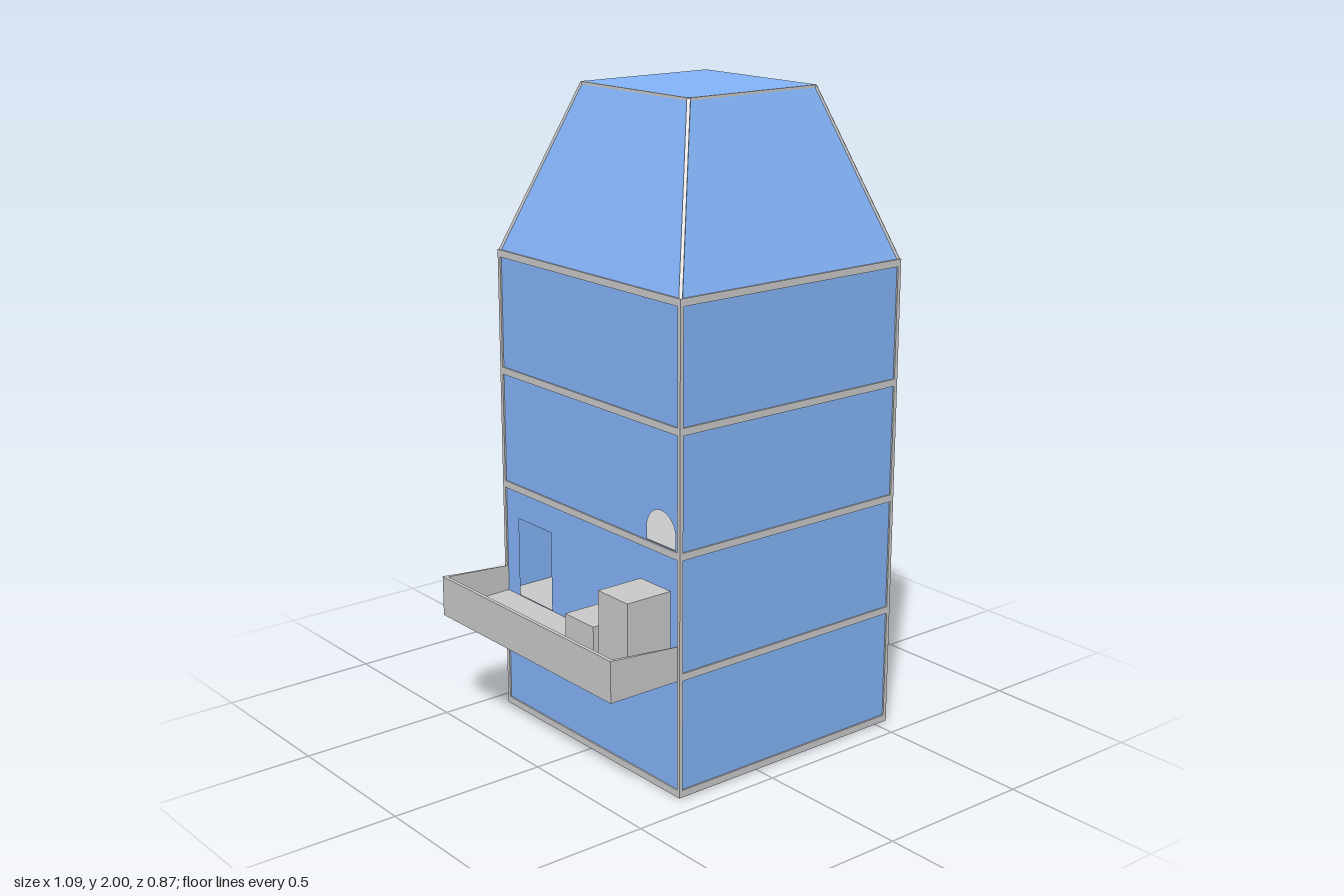
import * as THREE from 'three';

const grey = new THREE.MeshStandardMaterial({ color: 0xcccccc, side: THREE.DoubleSide });
const blue = new THREE.MeshStandardMaterial({ color: 0x85b5fa, side: THREE.DoubleSide });

// Tower footprint
const X0 = -0.305, X1 = 0.54, Z = 0.435, CX = (X0 + X1) / 2;
const W = X1 - X0, D = 2 * Z, INSET = 0.005;
const EAVES = 1.49, TOP = 2, RATIO = 0.572;
const floors = [0.005, 0.372, 0.738, 1.104, 1.47];
const SLAB = 0.022;

function add(parent, name, geometry, material) {
  const mesh = new THREE.Mesh(geometry, material);
  mesh.name = name;
  parent.add(mesh);
  return mesh;
}

// Box given by its two extreme corners
function block(parent, name, a, b, material = grey) {
  const mesh = add(parent, name, new THREE.BoxGeometry(b[0] - a[0], b[1] - a[1], b[2] - a[2]), material);
  mesh.position.set((a[0] + b[0]) / 2, (a[1] + b[1]) / 2, (a[2] + b[2]) / 2);
  return mesh;
}

// Thin square bar between two points
function bar(parent, name, a, b, t = 0.01) {
  const mesh = add(parent, name, new THREE.BoxGeometry(t, t, a.distanceTo(b)), grey);
  mesh.position.copy(a).lerp(b, 0.5);
  mesh.lookAt(b);
  return mesh;
}

// Upright glass sheet, optionally with openings
function glass(parent, width, y0, y1, holes = []) {
  const shape = new THREE.Shape([
    new THREE.Vector2(-width / 2, y0), new THREE.Vector2(width / 2, y0),
    new THREE.Vector2(width / 2, y1), new THREE.Vector2(-width / 2, y1)]);
  shape.holes.push(...holes);
  return add(parent, 'glassPanel', new THREE.ShapeGeometry(shape), blue);
}

function doorHole() {
  return new THREE.Path([[-0.36, 0.396], [-0.19, 0.396], [-0.19, 0.65], [-0.36, 0.65]]
    .map(([x, y]) => new THREE.Vector2(x, y)));
}

function archHole() {
  const path = new THREE.Path();
  path.moveTo(0.28, 0.763);
  path.lineTo(0.41, 0.763);
  path.lineTo(0.41, 0.80);
  path.absarc(0.345, 0.80, 0.065, 0, Math.PI, false);
  path.closePath();
  return path;
}

function createTower() {
  const tower = new THREE.Group();
  tower.name = 'tower';

  // Base plate and floor slabs whose edges show as bands
  block(tower, 'basePlate', [X0 + 0.008, 0, -Z + 0.008], [X1 - 0.008, 0.012, Z - 0.008]);
  floors.forEach(y => block(tower, 'floorSlab', [X0, y, -Z], [X1, y + SLAB, Z]));

  // Glass on all four sides of each storey
  for (let i = 0; i < 4; i++) {
    const y0 = floors[i] + SLAB, y1 = floors[i + 1];
    const holes = i === 1 ? [doorHole()] : i === 2 ? [archHole()] : [];
    glass(tower, W - 2 * INSET, y0, y1).position.set(CX, 0, Z - INSET);
    const back = glass(tower, W - 2 * INSET, y0, y1);
    back.position.set(CX, 0, -Z + INSET);
    back.rotation.y = Math.PI;
    const left = glass(tower, D - 2 * INSET, y0, y1);
    left.position.x = X1 - INSET;
    left.rotation.y = Math.PI / 2;
    const right = glass(tower, D - 2 * INSET, y0, y1, holes);
    right.position.x = X0 + INSET;
    right.rotation.y = -Math.PI / 2;
  }

  // Corner posts
  for (const x of [X0, X1 - 0.012]) for (const z of [-Z, Z - 0.012])
    block(tower, 'cornerPost', [x, 0.012, z], [x + 0.012, EAVES, z + 0.012]);
  return tower;
}

function createRoof() {
  const roof = new THREE.Group();
  roof.name = 'roof';

  // Tapered glass roof: a box with its top narrowed
  const geo = new THREE.BoxGeometry(W - 2 * INSET, TOP - EAVES, D - 2 * INSET);
  const p = geo.attributes.position;
  for (let i = 0; i < p.count; i++)
    if (p.getY(i) > 0) p.setXYZ(i, p.getX(i) * RATIO, p.getY(i), p.getZ(i) * RATIO);
  geo.computeVertexNormals();
  add(roof, 'roofGlass', geo, blue).position.set(CX, (EAVES + TOP) / 2, 0);

  // Sloping corner bars and the rim at the top
  const signs = [[-1, -1], [1, -1], [1, 1], [-1, 1]];
  const corner = ([sx, sz], k, y) =>
    new THREE.Vector3(CX + sx * (W / 2 - 0.006) * k, y, sz * (Z - 0.006) * k);
  signs.forEach((s, i) => {
    bar(roof, 'hipBar', corner(s, 1, EAVES), corner(s, RATIO, TOP - 0.004));
    bar(roof, 'topRim', corner(s, RATIO, TOP - 0.004), corner(signs[(i + 1) % 4], RATIO, TOP - 0.004), 0.008);
  });
  return roof;
}

function createBalcony() {
  const balcony = new THREE.Group();
  balcony.name = 'balcony';
  const out = -0.545, end = 0.425;

  block(balcony, 'balconyFloor', [out, 0.37, -end], [X0, 0.395, end]);
  block(balcony, 'frontParapet', [out, 0.37, -end], [out + 0.012, 0.497, end]);

  // End walls that drop and thin out towards the tower
  for (const s of [-1, 1]) {
    const geo = new THREE.BoxGeometry(X0 - out, 0.127, 0.012);
    const p = geo.attributes.position;
    for (let i = 0; i < p.count; i++) {
      if (p.getX(i) < 0) continue;
      if (p.getY(i) > 0) p.setY(i, p.getY(i) - 0.02);
      if (p.getZ(i) * s < 0) p.setZ(i, s * 0.004);
    }
    geo.computeVertexNormals();
    add(balcony, 'endParapet', geo, grey).position.set((X0 + out) / 2, 0.4335, s * (end - 0.006));
  }

  // Low and tall crates
  block(balcony, 'lowCrate', [-0.465, 0.395, 0.105], [-0.31, 0.52, 0.24]);
  block(balcony, 'tallCrate', [-0.465, 0.395, 0.265], [-0.31, 0.64, 0.4]);
  return balcony;
}

export function createModel() {
  const model = new THREE.Group();
  model.name = 'towerBlock';
  model.add(createTower(), createRoof(), createBalcony());
  return model;
}
